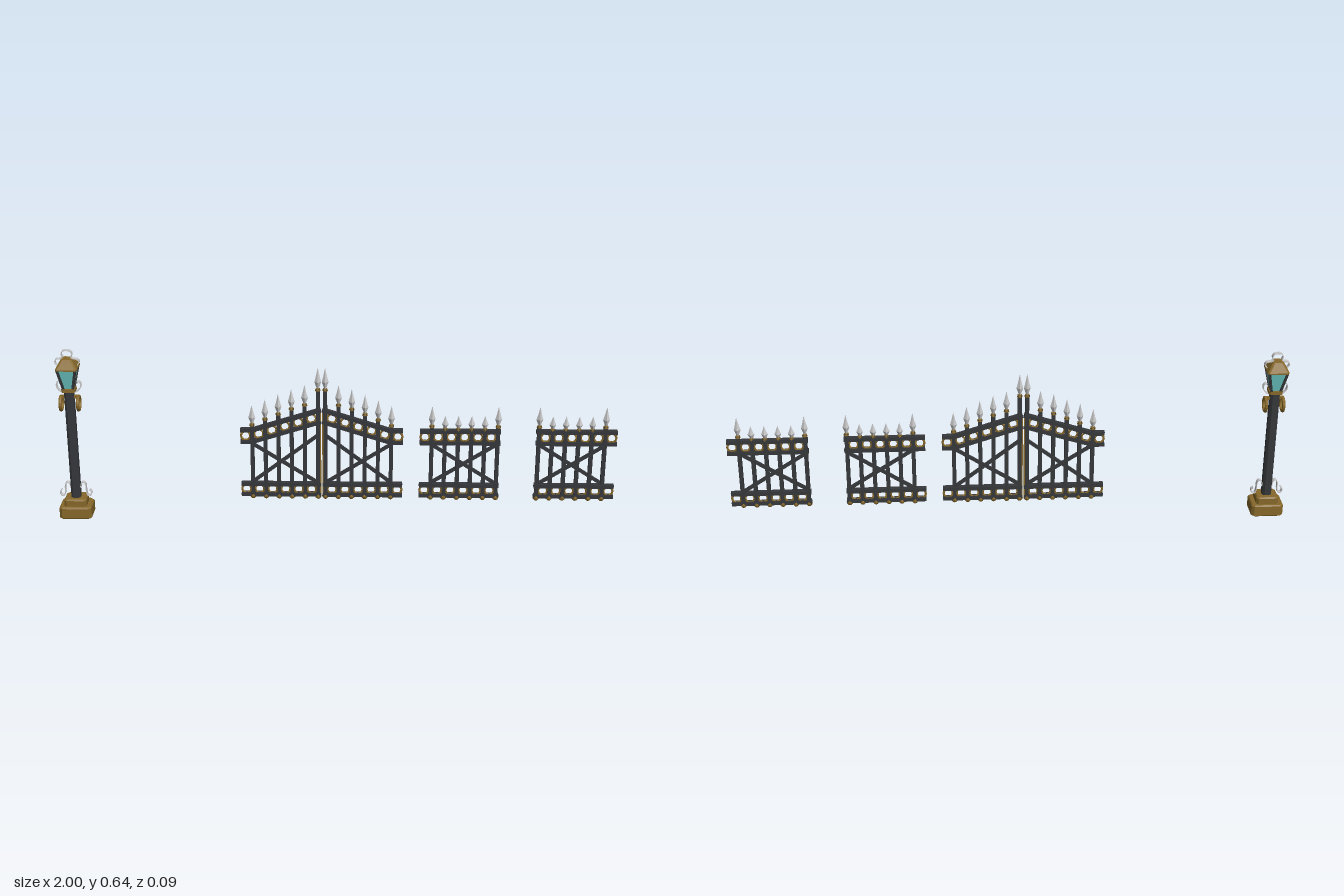
import * as THREE from 'three';

const mat = (color, extra = {}) => new THREE.MeshStandardMaterial({ color, flatShading: true, ...extra });
const dark = mat(0x35373a), gold = mat(0x86682a), glass = mat(0x6cc8c4);
const steel = mat(0xcccccc, { side: THREE.DoubleSide });

function add(parent, name, geometry, material, x = 0, y = 0, z = 0) {
  const mesh = new THREE.Mesh(geometry, material);
  mesh.name = name;
  mesh.position.set(x, y, z);
  parent.add(mesh);
  return mesh;
}

// Closed solid through chamfered rectangles given as [halfX, halfZ, y], bottom to top
function loft(sections, c) {
  const pos = [];
  const loops = sections.map(([a, b, y]) => [
    [a, c - b], [a - c, -b], [c - a, -b], [-a, c - b],
    [-a, b - c], [c - a, b], [a - c, b], [a, b - c],
  ].map(([x, z]) => [x, y, z]));
  const tri = (...p) => p.forEach((v) => pos.push(...v));
  for (let s = 0; s < loops.length - 1; s++) {
    for (let i = 0; i < 8; i++) {
      const j = (i + 1) % 8, lo = loops[s], hi = loops[s + 1];
      tri(lo[i], lo[j], hi[j]);
      tri(lo[i], hi[j], hi[i]);
    }
  }
  const bottom = loops[0], top = loops[loops.length - 1];
  for (let i = 1; i < 7; i++) {
    tri(bottom[0], bottom[i + 1], bottom[i]);
    tri(top[0], top[i], top[i + 1]);
  }
  const g = new THREE.BufferGeometry();
  g.setAttribute('position', new THREE.Float32BufferAttribute(pos, 3));
  g.computeVertexNormals();
  return g;
}

// Straight bar in the xy plane between two points
function bar(parent, name, [x1, y1], [x2, y2], h, d, z = 0) {
  const g = new THREE.BoxGeometry(Math.hypot(x2 - x1, y2 - y1), h, d);
  const m = add(parent, name, g, dark, (x1 + x2) / 2, (y1 + y2) / 2, z);
  m.rotation.z = Math.atan2(y2 - y1, x2 - x1);
}

// Thin bent strip following points in the xy plane
function ribbon(points, width = 0.016, t = 0.0015) {
  const curve = new THREE.CatmullRomCurve3(points.map(([x, y]) => new THREE.Vector3(x, y, 0)));
  const outer = [], inner = [];
  for (let i = 0; i <= 24; i++) {
    const p = curve.getPoint(i / 24), d = curve.getTangent(i / 24);
    outer.push(new THREE.Vector2(p.x - d.y * t, p.y + d.x * t));
    inner.unshift(new THREE.Vector2(p.x + d.y * t, p.y - d.x * t));
  }
  const g = new THREE.ExtrudeGeometry(new THREE.Shape([...outer, ...inner]), { depth: width, bevelEnabled: false });
  return g.translate(0, 0, -width / 2);
}

function spear(parent, x, y, h) {
  const profile = [[0.003, 0], [0.006, 0.1], [0.012, 0.33], [0.006, 0.62], [0, 1]];
  const pts = profile.map(([r, t]) => new THREE.Vector2(r, t * h));
  add(parent, 'spearhead', new THREE.LatheGeometry(pts, 4), steel, x, y);
}

const STEP = 0.047, COUNT = 6, FIRST = 0.013, END = 0.29;

// Panel runs outward along +x from its inner post; slope lifts the top rails and tips
function createPanel(gate) {
  const panel = new THREE.Group();
  const last = FIRST + STEP * (COUNT - 1);
  const lift = (x) => (gate ? 0.075 * Math.max(0, (last - x) / (last - FIRST)) : 0);
  const tips = gate ? [0.575, 0.51, 0.495, 0.475, 0.455, 0.433] : [0.433, 0.397, 0.397, 0.397, 0.397, 0.433];
  const ring = new THREE.TorusGeometry(0.0165, 0.004, 6, 12);

  tips.forEach((tip, i) => {
    const x = FIRST + STEP * i;
    const h = gate ? (i === 0 ? 0.08 : 0.072) : tip - 0.36 + (tip < 0.4 ? 0.012 : 0);
    const top = tip - h;
    add(panel, 'post', new THREE.BoxGeometry(0.014, top - 0.08, 0.014), dark, x, (top + 0.08) / 2);
    add(panel, 'collar', new THREE.CylinderGeometry(0.008, 0.01, 0.008, 8), gold, x, top - 0.003);
    add(panel, 'foot', new THREE.SphereGeometry(0.012, 8, 6), gold, x, 0.082);
    spear(panel, x, top, h);
    // Rings between the rails, the last one beyond the outer post
    const rx = x + STEP / 2;
    add(panel, 'lowerRing', ring, gold, rx, 0.108);
    add(panel, 'upperRing', ring, gold, rx, 0.315 + lift(rx));
  });

  for (const y of [0.088, 0.128]) bar(panel, 'lowerRail', [0.003, y], [END, y], 0.014, 0.018);
  for (const y of [0.293, 0.337]) {
    bar(panel, 'upperRail', [0.003, y + lift(0.003)], [last, y], 0.014, 0.018);
    bar(panel, 'railEnd', [last - 0.006, y], [END, y], 0.014, 0.018);
  }
  // Crossed braces
  bar(panel, 'brace', [FIRST, 0.135], [last, 0.287], 0.012, 0.008, 0.004);
  bar(panel, 'brace', [FIRST, 0.287 + lift(FIRST) * 0.4], [last, 0.135], 0.012, 0.008, -0.004);
  // Gold edge strip where the two leaves meet
  if (gate) add(panel, 'meetingStrip', new THREE.BoxGeometry(0.005, 0.33, 0.012), gold, 0.0045, 0.245);
  return panel;
}

function createLamp() {
  const lamp = new THREE.Group();
  lamp.name = 'lampPost';
  add(lamp, 'plinth', loft([[0.054, 0.043, 0], [0.058, 0.047, 0.004], [0.058, 0.047, 0.041], [0.054, 0.043, 0.046]], 0.01), gold);
  add(lamp, 'upperPlinth', loft([[0.04, 0.036, 0.045], [0.04, 0.036, 0.068], [0.036, 0.032, 0.073]], 0.008), gold);
  add(lamp, 'column', loft([[0.017, 0.017, 0.07], [0.017, 0.017, 0.485]], 0.008), dark);
  add(lamp, 'lanternCollar', loft([[0.024, 0.024, 0.482], [0.024, 0.024, 0.494]], 0.005), gold);
  add(lamp, 'lanternGlass', loft([[0.016, 0.016, 0.492], [0.033, 0.034, 0.57]], 0.001), glass);
  add(lamp, 'lanternRoof', loft([[0.038, 0.041, 0.568], [0.038, 0.041, 0.573], [0.021, 0.023, 0.6], [0.018, 0.019, 0.604]], 0.006), gold);

  // Corner bars of the lantern
  for (const sx of [-1, 1]) for (const sz of [-1, 1]) {
    const a = new THREE.Vector3(sx * 0.016, 0.492, sz * 0.016), b = new THREE.Vector3(sx * 0.032, 0.57, sz * 0.033);
    const m = add(lamp, 'cornerBar', new THREE.BoxGeometry(0.009, a.distanceTo(b), 0.009), dark);
    m.position.copy(a).lerp(b, 0.5);
    m.quaternion.setFromUnitVectors(new THREE.Vector3(0, 1, 0), b.sub(a).normalize());
  }

  // Mirrored rings and scrolls
  const scrolls = {
    baseScroll: [[0.018, 0.108], [0.021, 0.125], [0.03, 0.13], [0.037, 0.12], [0.038, 0.095], [0.043, 0.078], [0.053, 0.079], [0.057, 0.092], [0.05, 0.1]],
    crownScroll: [[0, 0.634], [0.012, 0.632], [0.019, 0.62], [0.015, 0.609], [0.024, 0.603], [0.038, 0.601], [0.043, 0.59], [0.036, 0.58]],
    lanternScroll: [[0.018, 0.478], [0.03, 0.482], [0.041, 0.495], [0.042, 0.512], [0.034, 0.519], [0.029, 0.51]],
  };
  for (const s of [-1, 1]) {
    const side = new THREE.Group();
    side.name = s > 0 ? 'leftOrnaments' : 'rightOrnaments';
    side.scale.x = s;
    lamp.add(side);
    const ring = add(side, 'hangingRing', new THREE.TorusGeometry(0.0245, 0.006, 8, 18), gold, 0.031, 0.435);
    ring.rotation.y = Math.PI / 2;
    add(side, 'ringHook', new THREE.BoxGeometry(0.02, 0.01, 0.012), gold, 0.023, 0.46);
    for (const [name, pts] of Object.entries(scrolls)) add(side, name, ribbon(pts), steel);
  }
  return lamp;
}

export function createModel() {
  const model = new THREE.Group();
  model.name = 'lampAndFence';
  const lamp = createLamp();
  lamp.position.x = -0.942;
  model.add(lamp);

  // Two gate leaves and two fence panels: name, inner edge x, direction, gate
  for (const [name, x, dir, gate] of [
    ['rightGate', -0.05, -1, true], ['leftGate', -0.05, 1, true],
    ['innerFence', 0.59, -1, false], ['outerFence', 0.71, 1, false],
  ]) {
    const panel = createPanel(gate);
    panel.name = name;
    panel.position.x = x;
    panel.scale.x = dir;
    model.add(panel);
  }
  return model;
}
